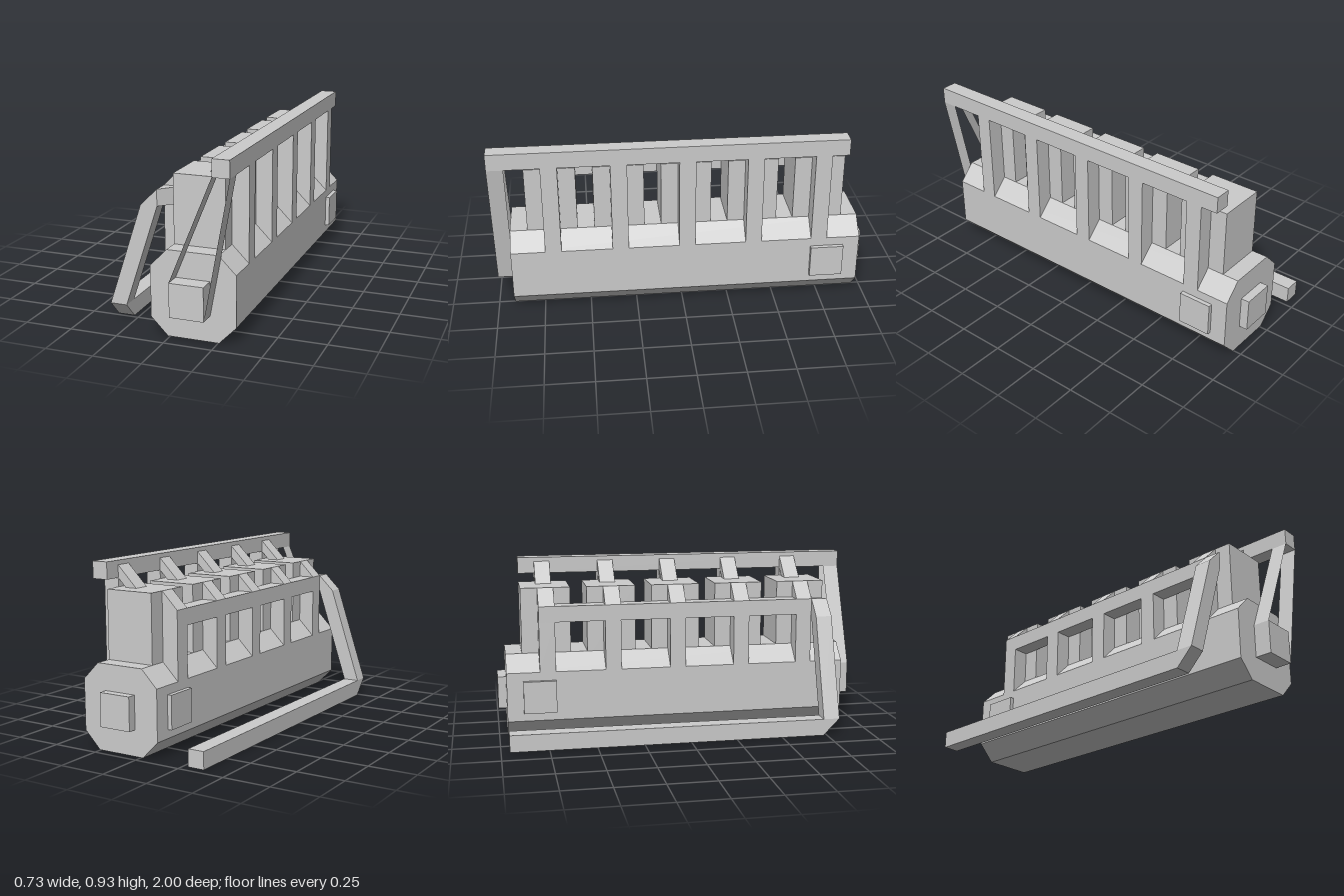
import * as THREE from 'three';

const material = new THREE.MeshStandardMaterial({ color: 0xcccccc, flatShading: true });
const sheetMaterial = new THREE.MeshStandardMaterial({
  color: 0xcccccc, flatShading: true, side: THREE.DoubleSide,
});

export function createModel() {
  const model = new THREE.Group();

  function add(name, geometry, mat = material) {
    const mesh = new THREE.Mesh(geometry, mat);
    mesh.name = name;
    model.add(mesh);
    return mesh;
  }

  // Box given by its limits on each axis
  function box(name, [x0, x1], [y0, y1], [z0, z1]) {
    const g = new THREE.BoxGeometry(x1 - x0, y1 - y0, z1 - z0);
    return add(name, g.translate((x0 + x1) / 2, (y0 + y1) / 2, (z0 + z1) / 2));
  }

  // Profile in x and y, extruded from z0 to z1
  function extrude(points, z0, z1) {
    const shape = new THREE.Shape(points.map(([x, y]) => new THREE.Vector2(x, y)));
    return new THREE.ExtrudeGeometry(shape, { depth: z1 - z0, bevelEnabled: false }).translate(0, 0, z0);
  }

  // Thin strip between two points in x and y
  function sheet(name, [xa, ya], [xb, yb], z0, z1) {
    const g = new THREE.PlaneGeometry(1, 1);
    const p = g.attributes.position;
    [[xa, ya, z0], [xa, ya, z1], [xb, yb, z0], [xb, yb, z1]].forEach((v, i) => p.setXYZ(i, ...v));
    g.computeVertexNormals();
    add(name, g, sheetMaterial);
  }

  const front = 0.913, back = -0.955;
  const L0 = -0.1, L1 = -0.012, R0 = 0.255, R1 = 0.343;

  // Crankcase with an octagonal section
  add('crankcase', extrude([
    [L0, 0.09], [L1, 0], [R0, 0], [R1, 0.09],
    [R1, 0.356], [R0, 0.445], [L1, 0.445], [L0, 0.356],
  ], back, front));

  // Cylinder blocks, each with an intake and an exhaust branch
  for (let i = 0; i < 5; i++) {
    const zc = 0.688 - i * 0.3555;
    const branch = [zc - 0.043, zc + 0.043];
    box('cylinderBlock', [L1, R0], [0.4, 0.8], [zc - 0.133, zc + 0.133]);
    box('intakePillar', [R0, R1], [0.356, 0.846], branch);
    box('exhaustPillar', [L0, L1], [0.356, 0.625], branch);
    add('intakePort', extrude([[0.145, 0.8], [0.21, 0.8], [R0, 0.845], [R0, 0.911]], ...branch));
    add('exhaustPort', extrude([[L0, 0.711], [L1, 0.711], [L1, 0.8]], ...branch));
  }

  // Intake rail above the right row of pillars
  box('intakeRail', [R0, R1], [0.846, 0.934], [-0.867, 1]);

  // Front inlet and the two open straps joining it to the intake rail
  const inletX = [0.033, 0.21], inletY = [0.135, 0.31];
  box('frontInlet', inletX, inletY, [front, 1]);
  sheet('outerStrap', [R1, 0.846], [inletX[1], inletY[0]], front, 1);
  sheet('innerStrap', [R0, 0.846], [inletX[0], inletY[1]], front, 1);

  // Cover plates on the back and both sides
  box('backPlate', inletX, inletY, [-1, back]);
  box('sidePlate', [R1, 0.366], inletY, [-0.867, -0.69]);
  box('sidePlate', [-0.123, L0], inletY, [-0.867, -0.69]);

  // Exhaust rail with a mitred corner at the front
  const p0 = 0.731, p1 = 0.819;
  box('exhaustRail', [L0, L1], [0.625, 0.711], [-0.777, p0]);
  const corner = extrude([[L0, -p0], [L0, -p1], [L1, -p0]], 0.625, 0.711);
  add('exhaustCorner', corner.rotateX(-Math.PI / 2));

  // Downpipe sloping outwards to the ground
  add('downpipe', extrude([
    [L0, 0.711], [-0.188, 0.625], [-0.366, 0.09], [-0.278, 0.09], [L0, 0.625],
  ], p0, p1));

  // Tailpipe along the ground, mitred under the downpipe
  const tail = extrude([[-p1, 0.09], [-p0, 0], [-back, 0], [-back, 0.09]], -0.366, -0.278);
  // Turn the profile so that its x runs along -z
  tail.rotateY(Math.PI / 2);
  add('tailpipe', tail);

  return model;
}
